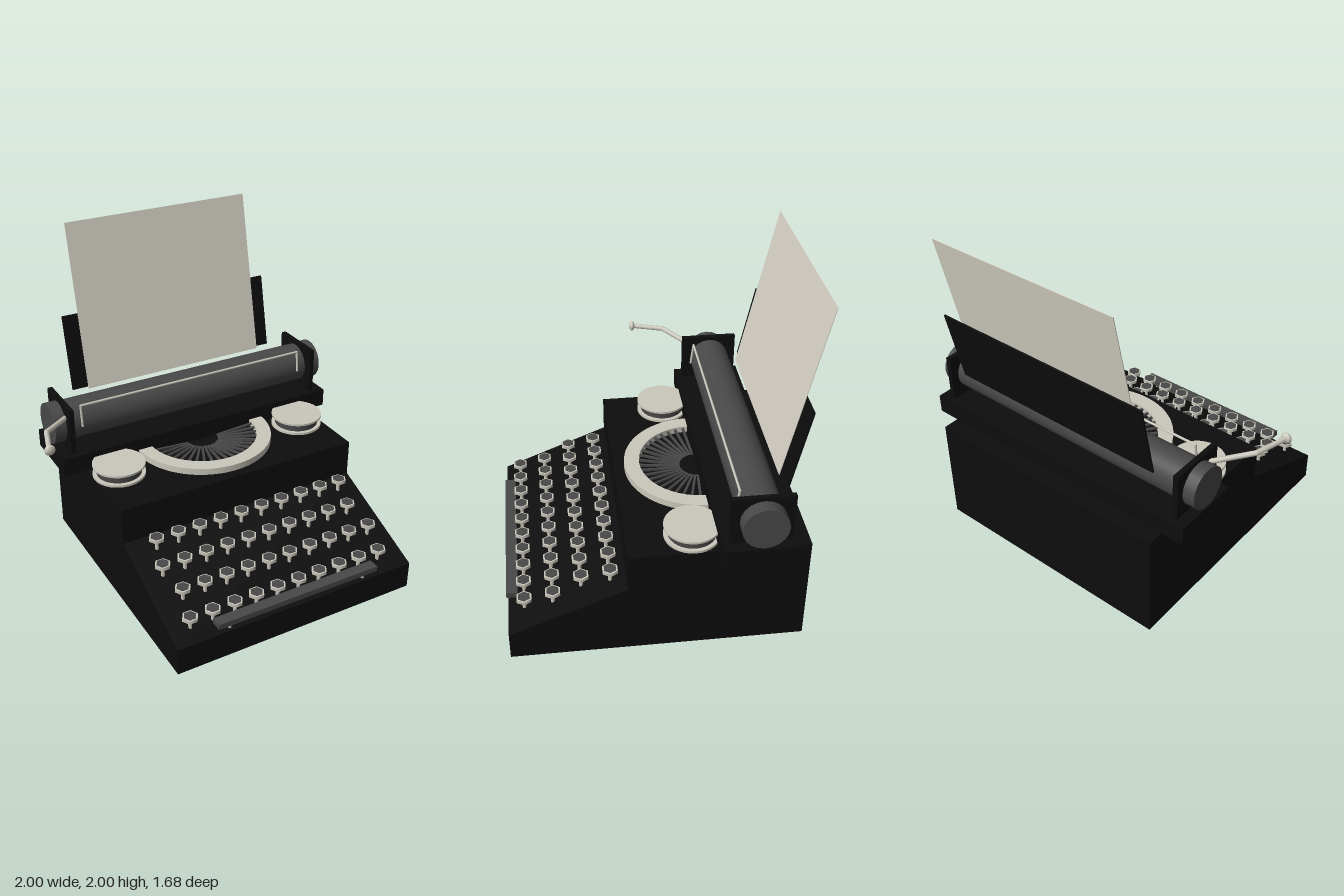
import * as THREE from 'three';

const mat = (name, color, flatShading = false) => {
  const m = new THREE.MeshStandardMaterial({ color });
  m.name = name;
  m.flatShading = flatShading;
  return m;
};

export function createModel() {
  const root = new THREE.Group();
  root.name = 'typewriter';
  const black = mat('black enamel', 0x0d0d0d);
  const gray = mat('dark gray rubber', 0x484848);
  const cream = mat('cream metal', 0xcac7bb);
  const paperMat = mat('paper', 0xdbd7ca);
  const CX = 0.093; // body centre line

  const add = (name, geo, material, x = 0, y = 0, z = 0, parent = root) => {
    const m = new THREE.Mesh(geo, material);
    m.name = name;
    m.position.set(x, y, z);
    parent.add(m);
    return m;
  };
  const box = (name, material, x0, x1, y0, y1, z0, z1) =>
    add(name, new THREE.BoxGeometry(x1 - x0, y1 - y0, z1 - z0), material,
      (x0 + x1) / 2, (y0 + y1) / 2, (z0 + z1) / 2);
  const cyl = (r, h, n) => new THREE.CylinderGeometry(r, r, h, n);
  // Straight-cornered rod through a list of points
  const rod = (name, r, pts) => {
    const path = new THREE.CurvePath();
    const v = pts.map(p => new THREE.Vector3(...p));
    for (let i = 1; i < v.length; i++) path.add(new THREE.LineCurve3(v[i - 1], v[i]));
    for (const c of path.curves)
      add(name, new THREE.TubeGeometry(c, 1, r, 10), cream);
    for (const p of v) add(name + 'Joint', new THREE.SphereGeometry(r, 10, 8), cream, p.x, p.y, p.z);
  };

  // Body: stepped side profile extruded across the width
  const profile = new THREE.Shape([
    [0.83, 0.04], [0.83, 0.205], [0.18, 0.47], [0.18, 0.69], [-0.8, 0.69], [-0.8, 0.04],
  ].map(p => new THREE.Vector2(...p)));
  const bodyGeo = new THREE.ExtrudeGeometry(profile, { depth: 1.524, bevelEnabled: false });
  bodyGeo.rotateY(-Math.PI / 2);
  add('body', bodyGeo, black, CX + 0.762, 0, 0);

  // Feet
  for (const s of [-1, 1]) for (const z of [0.7, -0.665])
    add('foot', cyl(0.065, 0.04, 12), gray, CX + s * 0.653, 0.02, z);

  // Carriage
  box('carriageBase', black, -0.805, 0.99, 0.69, 0.8, -0.705, -0.3);
  box('carriageEndPlate', black, -0.74, -0.71, 0.8, 1.08, -0.67, -0.335);
  box('carriageEndPlate', black, 0.895, 0.925, 0.8, 1.08, -0.67, -0.335);
  const roller = (name, r, x0, x1, n) => {
    const m = add(name, cyl(r, x1 - x0, n), gray, (x0 + x1) / 2, 0.94, -0.505);
    m.rotation.z = Math.PI / 2;
  };
  roller('platen', 0.118, -0.71, 0.895, 40);
  roller('platenKnob', 0.123, -0.81, -0.74, 20);
  roller('platenKnob', 0.123, 0.925, 1.0, 20);

  // Paper and its rest, both leaning back
  const sheet = (name, material, x0, x1, t, [z0, y0], [z1, y1]) => {
    const h = Math.hypot(z1 - z0, y1 - y0);
    const m = add(name, new THREE.BoxGeometry(x1 - x0, h, t), material,
      (x0 + x1) / 2, (y0 + y1) / 2, (z0 + z1) / 2);
    m.rotation.x = Math.atan2(z1 - z0, y1 - y0);
  };
  sheet('paper', paperMat, -0.495, 0.68, 0.004, [-0.635, 1.03], [-0.843, 1.995]);
  sheet('paperRest', black, -0.585, 0.775, 0.01, [-0.665, 1.03], [-0.757, 1.47]);

  // Paper bail across the platen
  rod('paperBail', 0.007, [
    [-0.645, 0.94, -0.38], [-0.645, 1.066, -0.395], [0.832, 1.066, -0.395], [0.832, 0.94, -0.38],
  ]);

  // Carriage return lever with flattened knob
  rod('returnLever', 0.015, [[-0.725, 1.005, -0.415], [-0.913, 1.047, -0.235], [-0.968, 1.05, -0.05]]);
  add('returnLeverKnob', new THREE.SphereGeometry(0.031, 16, 12), cream, -0.968, 1.05, -0.04)
    .scale.z = 0.6;

  // Ribbon spools
  for (const s of [-1, 1]) {
    const spool = new THREE.Group();
    spool.name = 'ribbonSpool';
    spool.position.set(CX + s * 0.61, 0.69, -0.18);
    root.add(spool);
    add('lowerFlange', cyl(0.155, 0.014, 32), cream, 0, 0.007, 0, spool);
    add('ribbon', cyl(0.132, 0.05, 32), gray, 0, 0.038, 0, spool);
    add('upperFlange', cyl(0.155, 0.012, 32), cream, 0, 0.069, 0, spool);
  }

  // Half ring around the type basket
  const ring = new THREE.Shape();
  ring.absarc(0, 0, 0.425, 0, Math.PI, false);
  ring.absarc(0, 0, 0.338, Math.PI, 0, true);
  const ringGeo = new THREE.ExtrudeGeometry(ring, { depth: 0.04, bevelEnabled: false, curveSegments: 32 });
  ringGeo.rotateX(Math.PI / 2);
  add('typeRing', ringGeo, cream, CX, 0.73, -0.305);

  // Fan of type bars, sloping down towards the middle
  const bars = 21;
  for (let i = 0; i < bars; i++) {
    const fan = new THREE.Group();
    fan.name = 'typeBar';
    fan.position.set(CX, 0.7, -0.305);
    fan.rotation.y = -Math.PI * (0.03 + 0.94 * i / (bars - 1));
    root.add(fan);
    add('bar', new THREE.BoxGeometry(0.24, 0.012, 0.014), gray, 0.22, 0, 0, fan).rotation.z = 0.12;
  }

  // Keys: four staggered rows of ten, each a hexagonal cap on a stem
  const capGeo = cyl(0.047, 0.02, 6).rotateY(Math.PI / 6);
  const padGeo = cyl(0.037, 0.004, 6).rotateY(Math.PI / 6);
  const slopeY = z => 0.205 + (0.83 - z) * 0.4077;
  const rows = [[-0.502, 0.265, 0.518], [-0.545, 0.422, 0.453], [-0.505, 0.58, 0.387], [-0.545, 0.738, 0.32]];
  for (const [x0, z, top] of rows) {
    const bottom = slopeY(z) - 0.01;
    const stemGeo = cyl(0.011, top - 0.02 - bottom, 8);
    for (let i = 0; i < 10; i++) {
      const key = new THREE.Group();
      key.name = 'key';
      key.position.set(x0 + i * 0.1367, 0, z);
      root.add(key);
      add('keyStem', stemGeo, cream, 0, (top - 0.02 + bottom) / 2, 0, key);
      add('keyCap', capGeo, cream, 0, top - 0.012, 0, key);
      add('keyPad', padGeo, gray, 0, top - 0.001, 0, key);
    }
  }

  // Space bar on two stems
  box('spaceBar', gray, -0.425, 0.61, 0.246, 0.279, 0.773, 0.838);
  for (const s of [-1, 1])
    add('spaceBarStem', cyl(0.012, 0.05, 8), cream, CX + s * 0.437, 0.228, 0.806);

  return root;
}
